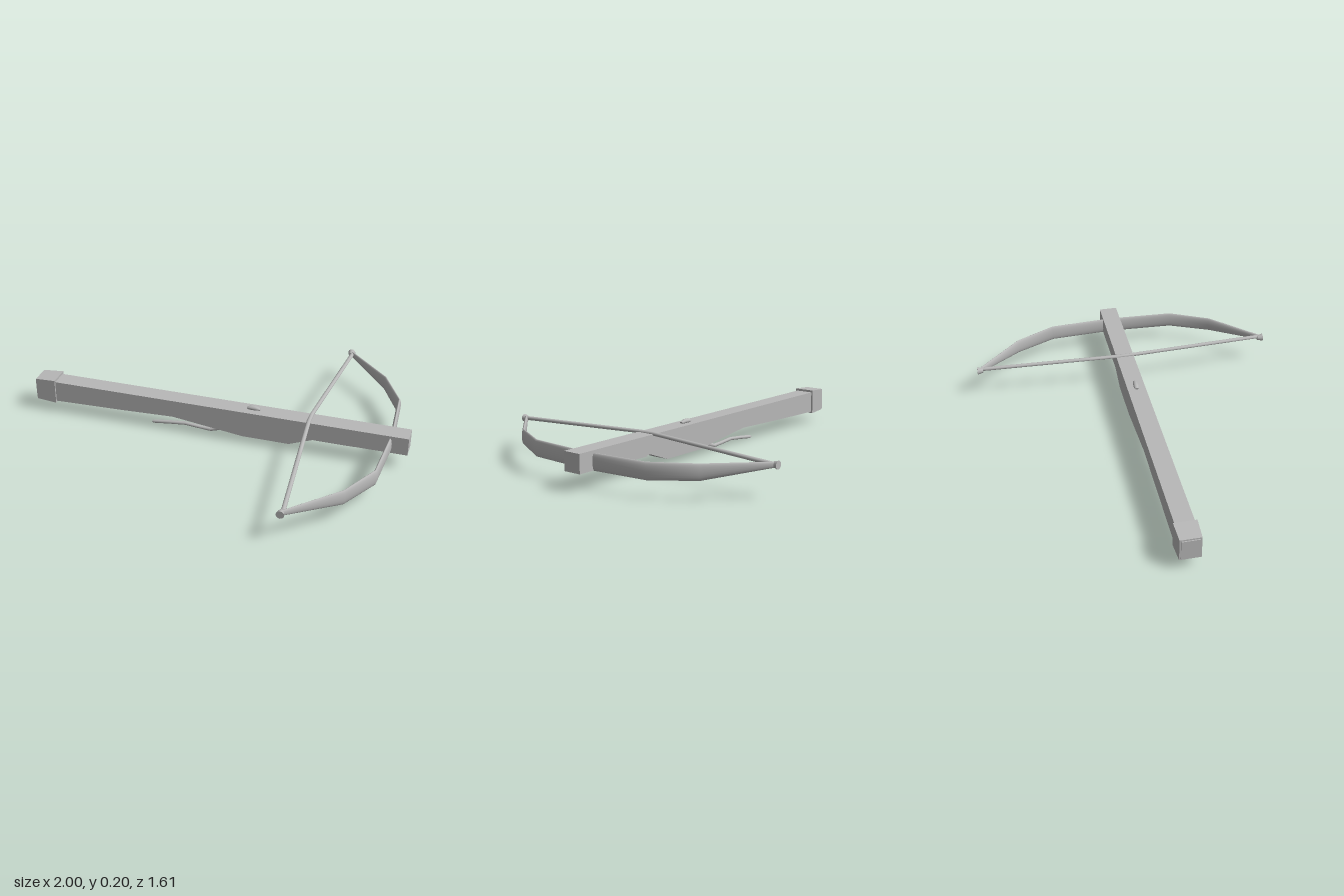
import * as THREE from 'three';

const grey = new THREE.MeshStandardMaterial({ color: 0xb8b8b8 });
grey.name = 'plain grey';

// Elliptical sections swept along stations [x, y, z, sideRadius, upRadius]
function loft(stations, up, sides = 14) {
  const pts = stations.map((s) => new THREE.Vector3(s[0], s[1], s[2]));
  const last = pts.length - 1, pos = [], idx = [];
  const rings = pts.map((p, i) => {
    const t = pts[Math.min(i + 1, last)].clone().sub(p).normalize();
    t.add(p.clone().sub(pts[Math.max(i - 1, 0)]).normalize());
    const side = t.cross(up).normalize();
    return Array.from({ length: sides }, (_, j) => {
      const a = (j / sides) * Math.PI * 2;
      return p.clone().addScaledVector(side, Math.cos(a) * stations[i][3])
        .addScaledVector(up, Math.sin(a) * stations[i][4]);
    });
  });
  const add = (ring) => ring.forEach((v) => pos.push(v.x, v.y, v.z));
  rings.forEach(add);
  for (let i = 0; i < last; i++) {
    for (let j = 0; j < sides; j++) {
      const k = (j + 1) % sides, a = i * sides, d = a + sides;
      idx.push(a + j, d + j, a + k, a + k, d + j, d + k);
    }
  }
  // flat end caps
  const s0 = pos.length / 3;
  add(rings[0]);
  add(rings[last]);
  for (let j = 1; j < sides - 1; j++) {
    idx.push(s0, s0 + j, s0 + j + 1, s0 + sides, s0 + sides + j + 1, s0 + sides + j);
  }
  const g = new THREE.BufferGeometry();
  g.setAttribute('position', new THREE.Float32BufferAttribute(pos, 3));
  g.setIndex(idx);
  g.computeVertexNormals();
  return g;
}

export function createModel() {
  const model = new THREE.Group();
  model.name = 'crossbow';
  const part = (name, geometry, x = 0, y = 0, z = 0) => {
    const m = new THREE.Mesh(geometry, grey);
    m.name = name;
    m.position.set(x, y, z);
    model.add(m);
    return m;
  };
  const Y = new THREE.Vector3(0, 1, 0), Z = new THREE.Vector3(0, 0, 1);

  // stock: side profile extruded across z
  const profile = [[-0.98, 0.182], [-0.98, 0.067], [-0.885, 0.068], [-0.5, 0.078],
    [-0.225, 0.088], [-0.02, 0.062], [0.155, 0.04], [0.4, 0.04], [0.525, 0.088],
    [1, 0.088], [1, 0.182]];
  const stock = new THREE.ExtrudeGeometry(
    new THREE.Shape(profile.map((p) => new THREE.Vector2(...p))),
    { depth: 0.096, bevelEnabled: false });
  part('stock', stock, 0, 0, -0.048);

  // butt cap, slightly narrower toward the rear
  const cap = new THREE.BoxGeometry(0.11, 0.133, 0.114);
  const p = cap.attributes.position;
  for (let i = 0; i < p.count; i++) {
    if (p.getX(i) < 0) p.setXYZ(i, p.getX(i), p.getY(i) * 0.9, p.getZ(i) * 0.92);
  }
  cap.computeVertexNormals();
  part('buttCap', cap, -0.94, 0.127, 0);
  part('buttPlate', new THREE.BoxGeometry(0.01, 0.104, 0.09), -0.995, 0.127, 0);

  // plate under the fore end
  part('underPlate', new THREE.BoxGeometry(0.21, 0.02, 0.06), 0.63, 0.085, 0);

  // bow limbs, tall flat section thinning to the tips
  const half = [[0.555, 0.16, 0.785, 0.009, 0.014], [0.782, 0.136, 0.555, 0.01, 0.039],
    [0.89, 0.13, 0.345, 0.011, 0.042], [0.908, 0.128, 0.05, 0.011, 0.042]];
  const mirrored = half.map(([x, y, z, a, b]) => [x, y, -z, a, b]).reverse();
  part('bow', loft([...half, ...mirrored], Y, 20));

  // string resting on the stock
  part('string', loft([[0.556, 0.163, 0.785, 0.011, 0.01], [0.495, 0.183, 0.04, 0.011, 0.009],
    [0.495, 0.183, -0.04, 0.011, 0.009], [0.556, 0.163, -0.785, 0.011, 0.01]], Y, 10));

  // flared tips that hold the string
  for (const s of [1, -1]) {
    const tip = part(s > 0 ? 'frontTip' : 'backTip',
      new THREE.CylinderGeometry(0.02, 0.012, 0.03, 12), 0.548, 0.16, s * 0.79);
    tip.rotation.x = s * Math.PI / 2;
  }

  // nut on top of the stock
  part('nut', loft([[0.168, 0.187, 0, 0.006, 0.01], [0.182, 0.19, 0, 0.011, 0.014],
    [0.21, 0.19, 0, 0.012, 0.013], [0.235, 0.186, 0, 0.006, 0.008]], Z, 12));

  // trigger lever
  part('trigger', loft([[0.05, 0.055, 0, 0.011, 0.01], [0.015, 0.035, 0, 0.011, 0.01],
    [-0.03, 0.02, 0, 0.01, 0.01], [-0.09, 0.024, 0, 0.009, 0.01],
    [-0.17, 0.031, 0, 0.009, 0.01], [-0.26, 0.022, 0, 0.009, 0.01],
    [-0.34, 0.012, 0, 0.009, 0.01], [-0.355, 0.01, 0, 0.006, 0.007]], Z, 10));

  return model;
}
